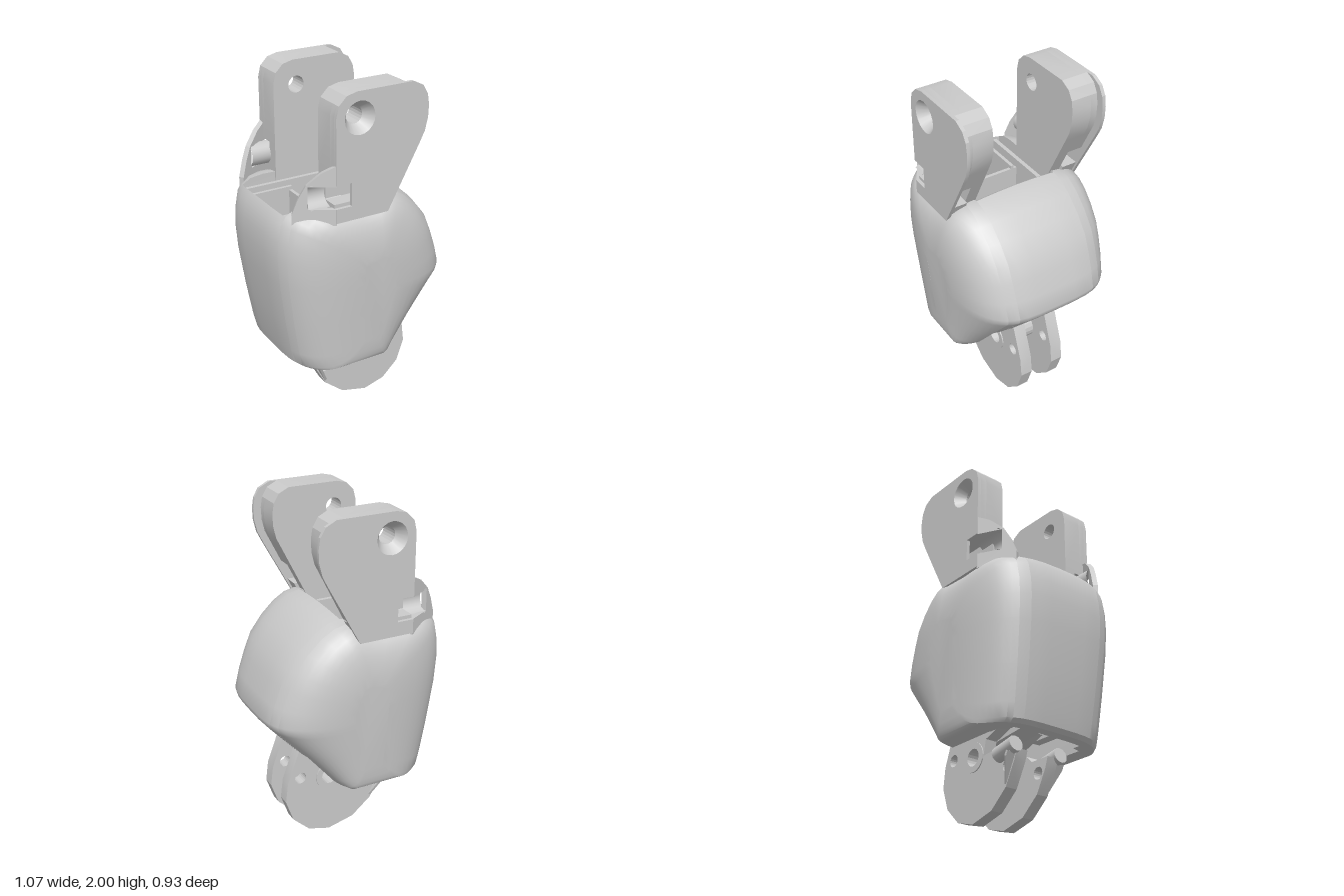
import * as THREE from 'three';
import { toCreasedNormals } from 'three/addons/utils/BufferGeometryUtils.js';

const material = new THREE.MeshStandardMaterial({ color: 0xcccccc, side: THREE.DoubleSide });
const pts = list => list.map(([x, y]) => new THREE.Vector2(x, y));

function add(parent, name, geometry) {
  const mesh = new THREE.Mesh(geometry, material);
  mesh.name = name;
  parent.add(mesh);
  return mesh;
}

// Loft an x-y profile across z; the sections shrink towards the sides to round the shell.
function shellLoft(profile, zs) {
  const outline = pts(profile);
  if (THREE.ShapeUtils.isClockWise(outline)) outline.reverse();
  const n = outline.length, position = [], index = [];
  for (const z of zs) {
    const s = Math.abs(z) / 0.47;
    const f = Math.pow(1 - Math.pow(s, 4), 0.4);
    const gTop = Math.pow(1 - Math.pow(s, 8), 0.25) - 0.4 * z * z;
    const gBottom = Math.pow(1 - Math.pow(s, 30), 0.15);
    for (const p of outline) {
      const y = 0.9 + (p.y - 0.9) * (p.y > 0.9 ? gTop : gBottom);
      position.push(p.x * f, y, z * (0.91 + 0.09 * THREE.MathUtils.smoothstep(y, 0.3, 1.15)));
    }
  }
  for (let k = 0; k < zs.length - 1; k++) {
    for (let i = 0; i < n; i++) {
      const a = k * n + i, b = k * n + (i + 1) % n;
      index.push(a, b, b + n, a, b + n, a + n);
    }
  }
  const last = (zs.length - 1) * n;
  for (const [a, b, c] of THREE.ShapeUtils.triangulateShape(outline, [])) {
    index.push(c, b, a, last + a, last + b, last + c);
  }
  const geometry = new THREE.BufferGeometry();
  geometry.setAttribute('position', new THREE.Float32BufferAttribute(position, 3));
  geometry.setIndex(index);
  return toCreasedNormals(geometry, 0.6);
}

// Flat plate in x-y between z0 and z1, with round holes [x, y, r].
function plate(outline, z0, z1, holes = []) {
  const shape = new THREE.Shape(pts(outline));
  for (const [x, y, r] of holes) shape.holes.push(new THREE.Path().absarc(x, y, r, 0, Math.PI * 2, true));
  const geometry = new THREE.ExtrudeGeometry(shape, { depth: z1 - z0, bevelEnabled: false, curveSegments: 10 });
  geometry.translate(0, 0, z0);
  return toCreasedNormals(geometry, 0.3);
}

function box(x0, x1, y0, y1, z0, z1) {
  return new THREE.BoxGeometry(x1 - x0, y1 - y0, z1 - z0)
    .translate((x0 + x1) / 2, (y0 + y1) / 2, (z0 + z1) / 2);
}

function buildShell() {
  const shell = new THREE.Group();
  shell.name = 'shell';
  const nose = [[0.532, 0.86], [0.503, 0.96], [0.463, 1.07], [0.42, 1.17], [0.34, 1.27],
    [0.25, 1.35], [0.17, 1.395], [0.1, 1.41]];
  const back = [[-0.48, 1.345], [-0.51, 1.30], [-0.53, 1.2], [-0.535, 1.1], [-0.525, 0.95],
    [-0.49, 0.7], [-0.455, 0.5], [-0.435, 0.42], [-0.41, 0.4]];
  const upper = [[0.5, 0.8], [0.525, 0.83], ...nose, [0.03, 1.39], [-0.15, 1.38],
    [-0.35, 1.385], [-0.43, 1.375], ...back];
  const cheek = [[0.12, 0.4], [0.16, 0.42], [0.2, 0.465], [0.36, 0.645], ...upper];
  const recessed = [[-0.3, 0.4], [-0.28, 0.48], [-0.2, 0.58], [0.1, 0.62], [0.335, 0.62], ...upper];

  // Cheeks, recessed underneath next to the opening
  const steps = [0.31, 0.34, 0.37, 0.395, 0.415, 0.432, 0.446, 0.457, 0.464, 0.468];
  const innerSteps = [0.25, 0.28, 0.31];
  const mirrored = list => list.map(z => -z).reverse();
  add(shell, 'leftCheek', shellLoft(cheek, steps));
  add(shell, 'rightCheek', shellLoft(cheek, mirrored(steps)));
  add(shell, 'leftInnerCheek', shellLoft(recessed, innerSteps));
  add(shell, 'rightInnerCheek', shellLoft(recessed, mirrored(innerSteps)));

  // Hollow middle: front hood and back wall leave the top and underside open
  const across = [-0.25, -0.2, -0.12, 0, 0.12, 0.2, 0.25];
  add(shell, 'frontHood', shellLoft([[0.36, 0.645], [0.5, 0.8], [0.525, 0.83], ...nose, [0.06, 1.38],
    [0.05, 1.3], [0.14, 1.28], [0.28, 1.16], [0.38, 0.98], [0.42, 0.84], [0.33, 0.68]], across));
  add(shell, 'backWall', shellLoft([...back, [-0.35, 0.4], [-0.35, 0.43], [-0.4, 0.47],
    [-0.43, 0.6], [-0.49, 1.0], [-0.5, 1.2], [-0.48, 1.3]], across));

  // Inner frame seen through the top opening
  add(shell, 'frameCrossbar', box(-0.22, -0.2, 0.5, 1.28, -0.2, 0.2));
  add(shell, 'frameFoot', box(-0.26, -0.2, 0.48, 0.54, -0.2, 0.2));
  for (const s of [-1, 1]) {
    add(shell, 'frameWeb', plate([[-0.49, 1.3], [-0.42, 0.6], [-0.2, 0.5], [-0.2, 1.3]],
      s * 0.172 - 0.01, s * 0.172 + 0.01));
    add(shell, 'frameRib', plate([[-0.47, 1.32], [-0.42, 0.65], [-0.2, 0.65], [0.03, 1.1], [0.03, 1.32]],
      s * 0.222 - 0.012, s * 0.222 + 0.012));
    add(shell, 'frameFloor', box(-0.2, -0.04, 0.48, 0.5, s * 0.175 - 0.03, s * 0.175 + 0.03));
  }
  return shell;
}

function buildArm(side) {
  const arm = new THREE.Group();
  arm.name = side > 0 ? 'leftArm' : 'rightArm';
  const head = inset => [[0.25, 1.66], [0.28, 1.72], [0.297, 1.79], [0.3, 1.86], [0.29, 1.92], [0.26, 1.97],
    [0.2, 2]].map(([x, y]) => [x - inset, y])
    .concat([[-0.14, 2], [-0.2, 1.985], [-0.245, 1.94], [-0.26, 1.88]]);
  const block = [[0.14, 1.53], ...head(0.045), [-0.26, 1.53]];
  const full = [[0.06, 1.31], ...head(0), [-0.26, 1.52], [-0.165, 1.52], [-0.165, 1.39], [-0.26, 1.39], [-0.26, 1.31]];
  add(arm, 'armBlock', plate(block, 0.24, 0.36, [[-0.12, 1.86, 0.048]]));
  add(arm, 'armBlockOuter', plate(block, 0.36, 0.4, [[-0.12, 1.86, 0.09]]));
  add(arm, 'armOuterPlate', plate(full, 0.4, 0.42, [[-0.12, 1.86, 0.09]]));
  add(arm, 'armInnerPlate', plate([[0.03, 1.31], [0.14, 1.53], [-0.26, 1.53], [-0.26, 1.31]], 0.24, 0.31));
  add(arm, 'armNeck', plate([[0.05, 1.31], [0.1, 1.41], [-0.26, 1.41], [-0.26, 1.31]], 0.31, 0.4));

  // Conical countersink around the pivot hole
  const sink = new THREE.CylinderGeometry(0.09, 0.048, 0.06, 20, 1, true);
  add(arm, 'countersink', sink.rotateX(Math.PI / 2).translate(-0.12, 1.86, 0.39));

  // Half-pipe channel running lengthwise under the block, open to the outside
  const channel = new THREE.CylinderGeometry(0.067, 0.067, 0.21, 12, 1, true, Math.PI / 2, Math.PI);
  add(arm, 'channel', channel.rotateZ(Math.PI / 2).translate(-0.27, 1.455, 0.362));

  // Angled gusset behind the arm, notched around the channel
  const gusset = add(arm, 'gusset', plate([[0, 1.63], [-0.08, 1.59], [-0.16, 1.52], [-0.2, 1.45],
    [-0.235, 1.36], [-0.235, 1.3], [0, 1.3], [0, 1.39], [-0.15, 1.39], [-0.15, 1.515], [0, 1.515]], -0.03, 0));
  gusset.position.set(-0.255, 0, 0.42);
  gusset.rotation.y = -0.52;
  arm.scale.z = side;
  return arm;
}

function buildLowerJoint() {
  const joint = new THREE.Group();
  joint.name = 'lowerJoint';
  const disc = [[0.11, 0], [0.24, 0.035], [0.34, 0.13], [0.385, 0.26], [0.37, 0.38], [0.3, 0.57],
    [0.2, 0.75], [0.05, 0.82], [-0.12, 0.82], [-0.14, 0.5], [0.0, 0.45], [0.02, 0.36], [-0.09, 0.37],
    [-0.13, 0.33], [-0.26, 0.33], [-0.24, 0.27], [-0.17, 0.14], [-0.05, 0.04]];
  const holes = [[0.105, 0.37, 0.05], [0.29, 0.4, 0.035], [-0.18, 0.255, 0.035]];
  const ring = Array.from({ length: 20 }, (_, i) => {
    const a = i / 20 * Math.PI * 2;
    return [0.105 + 0.085 * Math.cos(a), 0.37 + 0.085 * Math.sin(a)];
  });
  add(joint, 'hub', plate(ring, -0.15, 0.15, [[0.105, 0.37, 0.05]]));
  add(joint, 'centreLink', plate([[-0.26, 0.48], [0.02, 0.45], [0.14, 0.46], [0.14, 0.66],
    [0.04, 0.72], [-0.26, 0.72]], -0.065, 0.065));
  for (const s of [-1, 1]) {
    const half = new THREE.Group();
    half.name = s > 0 ? 'leftDisc' : 'rightDisc';
    add(half, 'disc', plate(disc, 0.07, 0.143, holes));

    // Side lug, and a tapered flange along the rear edge below it
    const lug = new THREE.CylinderGeometry(0.045, 0.045, 0.15, 12);
    add(half, 'lug', lug.rotateZ(Math.PI / 2 - 0.2).translate(-0.195, 0.335, 0.155));
    const flange = plate([[0.14, 0.03], [0.195, 0.03], [0.195, 0], [0.14, -0.15]], -0.015, 0);
    add(half, 'lugFlange', flange.rotateY(-Math.PI / 2).rotateZ(0.46).translate(-0.235, 0.28, 0));
    half.scale.z = s;
    joint.add(half);
  }
  return joint;
}

export function createModel() {
  const model = new THREE.Group();
  model.name = 'jointHousing';
  model.add(buildShell(), buildArm(1), buildArm(-1), buildLowerJoint());
  return model;
}
